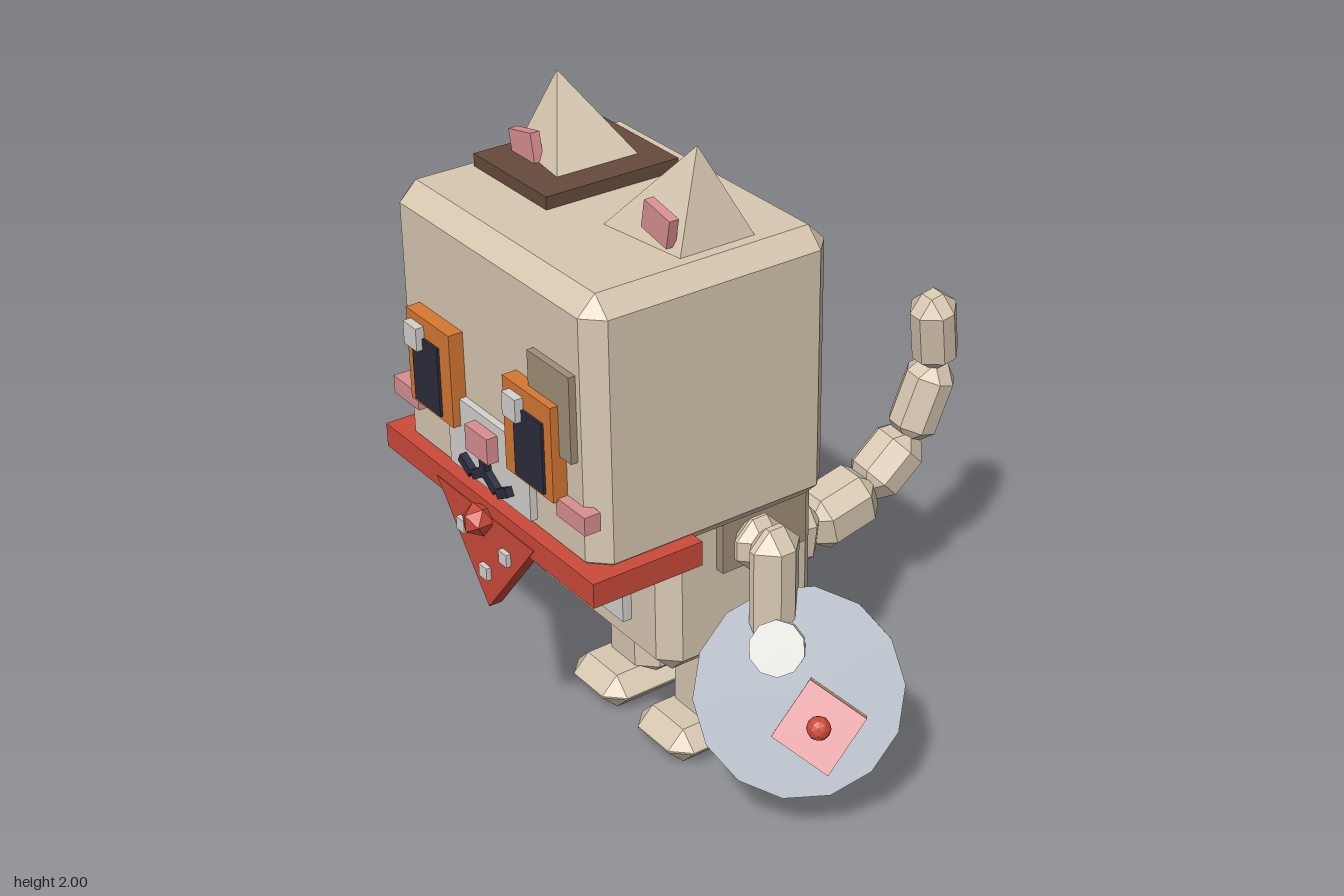
import * as THREE from 'three';
import { ConvexGeometry } from 'three/addons/geometries/ConvexGeometry.js';

const mat = (name, color) => {
  const m = new THREE.MeshStandardMaterial({ color });
  m.name = name;
  return m;
};
const V = (x, y, z) => new THREE.Vector3(x, y, z);
const CX = -0.088; // symmetry plane of the figure

export function createModel() {
  const cream = mat('cream', 0xd8c8b1), tan = mat('tan', 0xa08f78), brown = mat('dark brown', 0x664b3b),
    orange = mat('orange', 0xd67833), navy = mat('navy', 0x2c2d3d), pale = mat('pale grey', 0xd5d3ce),
    pink = mat('pink', 0xd98f92), red = mat('red', 0xcb4a39), grey = mat('steel grey', 0x9ba4b0),
    yellow = mat('yellow', 0xd6c585);

  const root = new THREE.Group();
  root.name = 'catFigure';

  const add = (name, geo, material, pos = [0, 0, 0], parent = root) => {
    const m = new THREE.Mesh(geo, material);
    m.name = name;
    m.position.set(...pos);
    parent.add(m);
    return m;
  };
  const flat = (geo) => {
    const g = geo.index ? geo.toNonIndexed() : geo;
    g.computeVertexNormals();
    return g;
  };
  // Box with all edges and corners cut at 45 degrees
  const chamferGeo = (w, h, d, b = 0.055) => {
    b = Math.min(b, w * 0.49, h * 0.49, d * 0.49);
    const pts = [];
    for (const sx of [-1, 1]) for (const sy of [-1, 1]) for (const sz of [-1, 1]) {
      const x = w / 2, y = h / 2, z = d / 2;
      pts.push(V(sx * x, sy * (y - b), sz * (z - b)), V(sx * (x - b), sy * y, sz * (z - b)),
        V(sx * (x - b), sy * (y - b), sz * z));
    }
    return new ConvexGeometry(pts);
  };
  // Boxes given by their limits on each axis
  const span = (x0, x1, y0, y1, z0, z1) => ({
    size: [x1 - x0, y1 - y0, z1 - z0], mid: [(x0 + x1) / 2, (y0 + y1) / 2, (z0 + z1) / 2],
  });
  const block = (name, material, ...lim) => {
    const s = span(...lim);
    return add(name, new THREE.BoxGeometry(...s.size), material, s.mid);
  };
  const chamfered = (name, material, ...lim) => {
    const s = span(...lim);
    return add(name, chamferGeo(...s.size), material, s.mid);
  };

  // Head and body
  chamfered('head', cream, -0.58, 0.404, 0.91, 1.74, -0.035, 0.755);
  chamfered('body', cream, -0.43, 0.254, 0.38, 1.09, -0.118, 0.43);
  block('bellyPlate', pale, -0.255, 0.08, 0.51, 0.9, 0.42, 0.46);

  // Fur patches
  block('headTopPatch', brown, -0.505, -0.14, 1.73, 1.778, 0.09, 0.525);
  block('browPatch', tan, 0.135, 0.33, 1.26, 1.515, 0.74, 0.776);
  block('leftSidePatch', tan, 0.24, 0.284, 0.7, 0.99, -0.04, 0.255);
  block('backPatch', tan, -0.16, 0.14, 0.48, 0.77, -0.146, -0.1);
  block('rightSidePatch', brown, -0.457, -0.42, 0.44, 0.71, -0.05, 0.21);

  // Eyes, each with its own pupil and glint
  block('eyeRight', orange, -0.45, -0.225, 1.125, 1.41, 0.74, 0.8);
  block('eyeLeft', orange, 0.045, 0.275, 1.125, 1.41, 0.74, 0.8);
  block('pupilRight', navy, -0.415, -0.28, 1.138, 1.35, 0.79, 0.808);
  block('pupilLeft', navy, 0.103, 0.24, 1.138, 1.35, 0.79, 0.808);
  block('glintRight', pale, -0.425, -0.357, 1.315, 1.385, 0.79, 0.826);
  block('glintLeft', pale, 0.08, 0.145, 1.315, 1.385, 0.79, 0.826);

  // Muzzle, nose, mouth and cheeks
  block('muzzle', pale, -0.29, 0.12, 0.985, 1.21, 0.74, 0.777);
  block('nose', pink, -0.145, -0.033, 1.1, 1.18, 0.76, 0.812);
  block('mouthStem', navy, CX - 0.015, CX + 0.015, 1.03, 1.1, 0.77, 0.798);
  for (const s of [-1, 1]) {
    const inner = add('mouthInner', new THREE.BoxGeometry(0.068, 0.028, 0.028), navy, [CX + s * 0.03, 1.03, 0.784]);
    inner.rotation.z = -s * 0.56;
    const outer = add('mouthOuter', new THREE.BoxGeometry(0.062, 0.028, 0.028), navy, [CX + s * 0.095, 1.025, 0.784]);
    outer.rotation.z = s * 0.5;
    const c = CX + s * 0.42;
    block('cheek', pink, c - 0.067, c + 0.067, 1.08, 1.135, 0.735, 0.786);
  }

  // Ears: leaning pyramids with inner pads
  for (const s of [-1, 1]) {
    const x = (d) => CX + s * d;
    add('ear', new ConvexGeometry([V(x(0.327), 2, 0.3), V(x(0.108), 1.735, 0.135), V(x(0.108), 1.735, 0.455),
      V(x(0.405), 1.735, 0.17), V(x(0.405), 1.735, 0.415)]), cream);
    const pad = add('innerEar', new THREE.BoxGeometry(0.115, 0.085, 0.03), pink, [x(0.318), 1.81, 0.415]);
    pad.rotation.z = -s * 0.2;
  }

  // Neckerchief: three bars, hanging triangle, studs and bell
  block('collarFront', red, -0.622, 0.446, 0.885, 0.96, 0.72, 0.796);
  block('collarRight', red, -0.622, -0.545, 0.885, 0.96, 0.443, 0.73);
  block('collarLeft', red, 0.369, 0.446, 0.885, 0.96, 0.443, 0.73);
  const tri = new THREE.Shape([[-0.25, 0.92], [0, 0.61], [0.25, 0.92]].map(([x, y]) => new THREE.Vector2(x, y)));
  add('scarfPoint', new THREE.ExtrudeGeometry(tri, { depth: 0.042, bevelEnabled: false }), red, [CX, 0, 0.757]);
  for (const [x, y] of [[-0.11, 0.83], [0.11, 0.83], [0, 0.73]])
    add('stud', new THREE.BoxGeometry(0.04, 0.04, 0.03), pale, [CX + x, y, 0.799]);
  add('bell', new THREE.IcosahedronGeometry(0.05, 0), red, [CX, 0.905, 0.818]);

  // Legs, feet, arms and hands
  for (const s of [-1, 1]) {
    const limb = (name, dx, w, y0, y1, z0, z1) =>
      chamfered(name, cream, CX + s * dx - w / 2, CX + s * dx + w / 2, y0, y1, z0, z1);
    limb('leg', 0.168, 0.235, 0.06, 0.44, 0.035, 0.237);
    limb('foot', 0.172, 0.265, 0, 0.115, 0.035, 0.367);
    limb('shoulder', 0.405, 0.12, 0.7, 0.87, 0.075, 0.235);
    limb('arm', 0.478, 0.13, 0.49, 0.87, 0.075, 0.235);
    limb('hand', 0.488, 0.14, 0.4, 0.54, 0.095, 0.24);
  }

  // Tail: a chain of blocks curling up
  const nodes = [V(-0.09, 0.49, -0.08), V(-0.09, 0.455, -0.34), V(-0.085, 0.51, -0.57), V(-0.07, 0.655, -0.725),
    V(-0.04, 0.9, -0.8), V(-0.015, 1.15, -0.755)];
  const widths = [0.2, 0.19, 0.17, 0.155, 0.145];
  const up = V(0, 1, 0);
  widths.forEach((w, i) => {
    const dir = nodes[i + 1].clone().sub(nodes[i]);
    const mid = nodes[i].clone().add(nodes[i + 1]).multiplyScalar(0.5);
    const seg = add('tailSegment', chamferGeo(w, dir.length() + 0.015, w, 0.05), cream, mid.toArray());
    seg.quaternion.setFromUnitVectors(up, dir.normalize());
  });

  // Tilted plate with a cup and a layered cake
  const tray = new THREE.Group();
  tray.name = 'plateOfTreats';
  const n = V(0.64, 0.543, 0.543).normalize(), u = V(0, -1, 1).normalize();
  tray.quaternion.setFromRotationMatrix(new THREE.Matrix4().makeBasis(n.clone().cross(u), n, u));
  tray.position.set(0.54, 0.41, 0.18);
  root.add(tray);
  add('plate', flat(new THREE.CylinderGeometry(0.3, 0.3, 0.035, 14)), grey, [0, 0, 0], tray);
  add('cup', flat(new THREE.CylinderGeometry(0.08, 0.08, 0.13, 10)), pale, [-0.118, 0.08, -0.07], tray);
  add('cakeBase', new THREE.BoxGeometry(0.19, 0.085, 0.19), yellow, [0.1, 0.058, 0.042], tray);
  add('cakeIcing', new THREE.BoxGeometry(0.19, 0.055, 0.19), pink, [0.1, 0.128, 0.042], tray);
  add('cherry', flat(new THREE.IcosahedronGeometry(0.035, 1)), red, [0.1, 0.18, 0.042], tray);

  // Small drum in the right hand
  const drum = new THREE.Group();
  drum.name = 'drum';
  drum.position.set(-0.612, 0.485, 0.25);
  drum.quaternion.setFromUnitVectors(up, V(-0.41, 0.55, 0.73).normalize());
  root.add(drum);
  const ring = (name, rt, rb, h, y, m) => add(name, flat(new THREE.CylinderGeometry(rt, rb, h, 10)), m, [0, y, 0], drum);
  ring('drumHead', 0.118, 0.112, 0.08, 0.07, brown);
  ring('drumBand', 0.105, 0.1, 0.045, 0.008, pale);
  ring('drumBase', 0.098, 0.085, 0.085, -0.057, brown);

  // Ball-topped stick beside the drum
  const a = V(-0.735, 0.575, 0.165), b = V(-0.565, 0.46, 0.075);
  const axis = a.clone().sub(b);
  add('stickBall', flat(new THREE.SphereGeometry(0.068, 8, 6)), grey, a.toArray());
  const stick = add('stickHandle', flat(new THREE.CylinderGeometry(0.032, 0.046, axis.length(), 8)), navy,
    a.clone().add(b).multiplyScalar(0.5).toArray());
  stick.quaternion.setFromUnitVectors(up, axis.normalize());

  return root;
}
